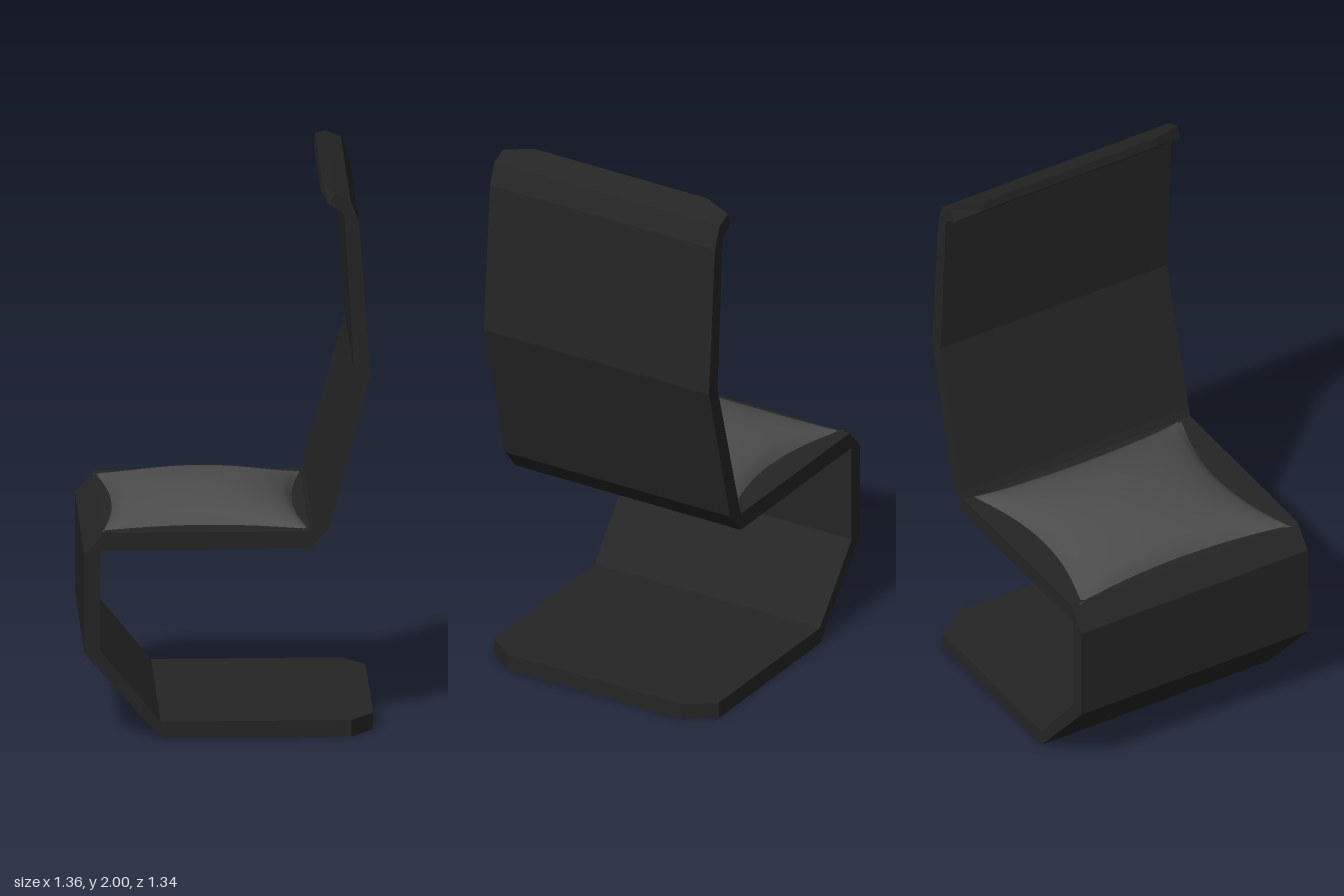
import * as THREE from 'three';

const frameMat = new THREE.MeshStandardMaterial({ color: 0x252525 });
frameMat.name = 'black frame';
const cushionMat = new THREE.MeshStandardMaterial({ color: 0x4c4c4c });
cushionMat.name = 'grey fabric';

const HALF = 0.47; // half width of the bent band

// Bent band: each station holds one face (x, y), the other face (x, y) and the half width
function bandGeometry(stations) {
  const pos = [];
  const index = [];
  for (const [ax, ay, bx, by, h = HALF] of stations) {
    pos.push(ax, ay, h, bx, by, h, bx, by, -h, ax, ay, -h);
  }
  for (let i = 0; i < stations.length - 1; i++) {
    for (let k = 0; k < 4; k++) {
      const a = i * 4 + k, b = i * 4 + (k + 1) % 4;
      index.push(a, b, b + 4, a, b + 4, a + 4);
    }
  }
  const e = (stations.length - 1) * 4;
  index.push(0, 3, 2, 0, 2, 1, e, e + 1, e + 2, e, e + 2, e + 3);
  const indexed = new THREE.BufferGeometry();
  indexed.setAttribute('position', new THREE.Float32BufferAttribute(pos, 3));
  indexed.setIndex(index);
  const geo = indexed.toNonIndexed();
  geo.computeVertexNormals();
  return geo;
}

// Pillow: a domed grid with edges pulled in between pointed corners
function cushionGeometry() {
  const geo = new THREE.PlaneGeometry(2, 2, 36, 36).rotateX(-Math.PI / 2);
  const p = geo.attributes.position;
  for (let i = 0; i < p.count; i++) {
    const u = p.getX(i), v = p.getZ(i);
    const fu = Math.max(0, 1 - u * u), fv = Math.max(0, 1 - v * v);
    p.setXYZ(
      i,
      -0.075 + 0.37 * u * (1 - 0.13 * fv),
      0.748 + 0.105 * Math.pow(fu * fv, 0.6),
      0.44 * v * (1 - 0.18 * fu)
    );
  }
  geo.computeVertexNormals();
  return geo;
}

export function createModel() {
  const model = new THREE.Group();
  model.name = 'cantileverChair';

  // Frame: foot, riser, seat, back and curled head edge in one band
  const frame = new THREE.Mesh(bandGeometry([
    [0.52, 0, 0.52, 0.06, 0.36],
    [0.44, 0, 0.44, 0.06],
    [-0.235, 0, -0.237, 0.06],
    [-0.507, 0.31, -0.45, 0.32],
    [-0.507, 0.67, -0.45, 0.68],
    [-0.437, 0.75, -0.442, 0.686],
    [0.29, 0.75, 0.294, 0.686],
    [0.302, 0.78, 0.365, 0.77],
    [0.45, 1.32, 0.507, 1.32],
    [0.415, 1.9, 0.466, 1.88],
    [0.405, 1.915, 0.436, 1.96],
    [0.36, 1.94, 0.38, 1.985],
    [0.335, 1.965, 0.34, 2.0, 0.36],
  ]), frameMat);
  frame.name = 'bentFrame';
  model.add(frame);

  // Seat cushion
  const cushion = new THREE.Mesh(cushionGeometry(), cushionMat);
  cushion.name = 'seatCushion';
  model.add(cushion);

  // The chair stands turned on its base
  const turned = new THREE.Group();
  turned.name = 'chair';
  model.rotation.y = 0.562;
  turned.add(model);
  return turned;
}
